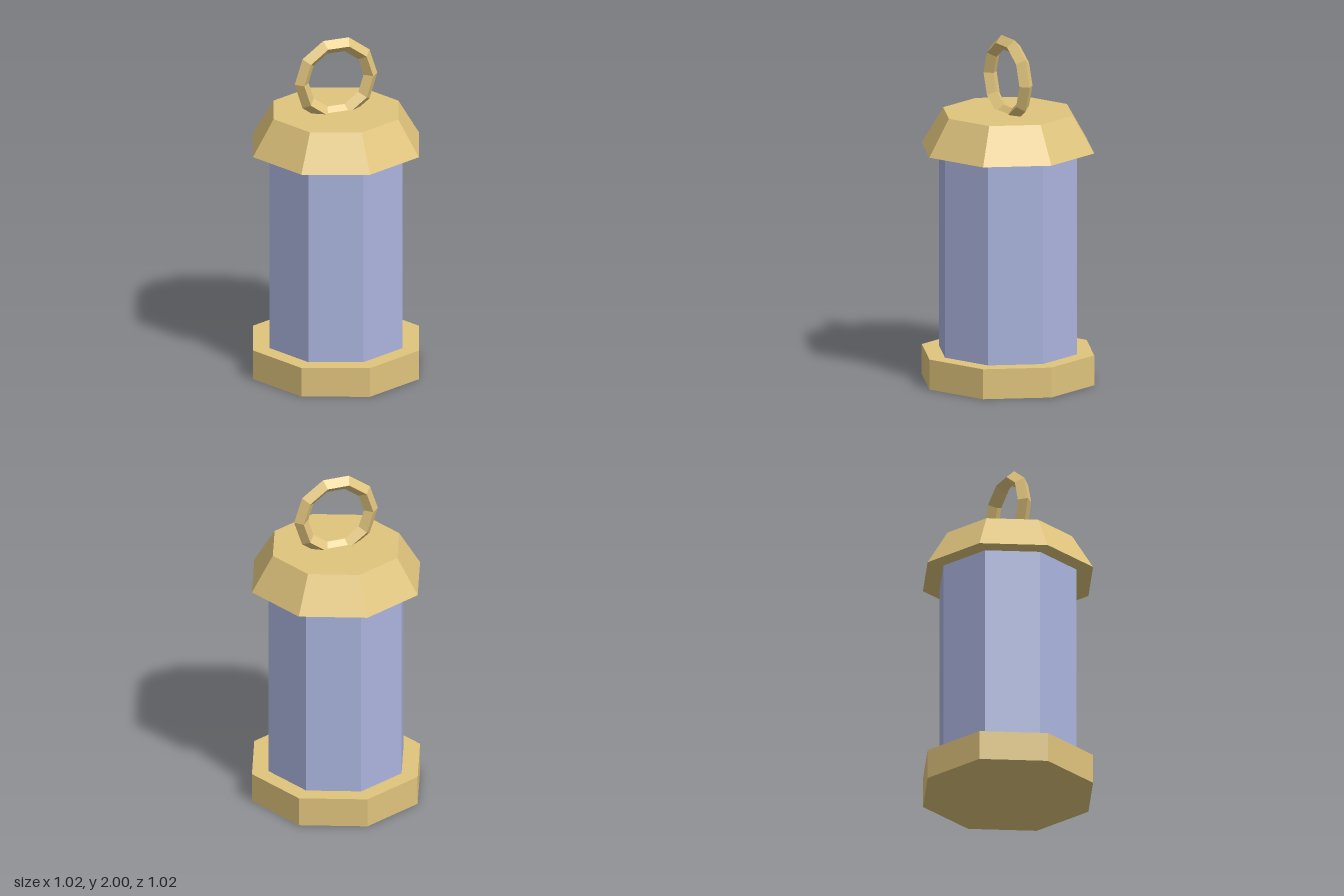
import * as THREE from 'three';

export function createModel() {
  const model = new THREE.Group();
  model.name = 'lantern';

  const brass = new THREE.MeshStandardMaterial({ color: 0xe0c47d, flatShading: true });
  brass.name = 'brass';
  const glass = new THREE.MeshStandardMaterial({ color: 0xabb4de, flatShading: true });
  glass.name = 'pale blue glass';

  // Eight-sided section between two heights
  function octagon(name, material, topRadius, bottomRadius, y0, y1) {
    const mesh = new THREE.Mesh(
      new THREE.CylinderGeometry(topRadius, bottomRadius, y1 - y0, 8), material);
    mesh.name = name;
    mesh.position.y = (y0 + y1) / 2;
    model.add(mesh);
  }

  octagon('base', brass, 0.511, 0.511, 0, 0.175);
  octagon('glassBody', glass, 0.41, 0.41, 0.175, 1.355);
  octagon('cap', brass, 0.384, 0.511, 1.355, 1.568);

  // Faceted carrying ring, sunk slightly into the cap
  const ring = new THREE.Mesh(new THREE.TorusGeometry(0.212, 0.0425, 4, 10), brass);
  ring.name = 'carryingRing';
  ring.position.y = 1.758;
  model.add(ring);

  return model;
}
